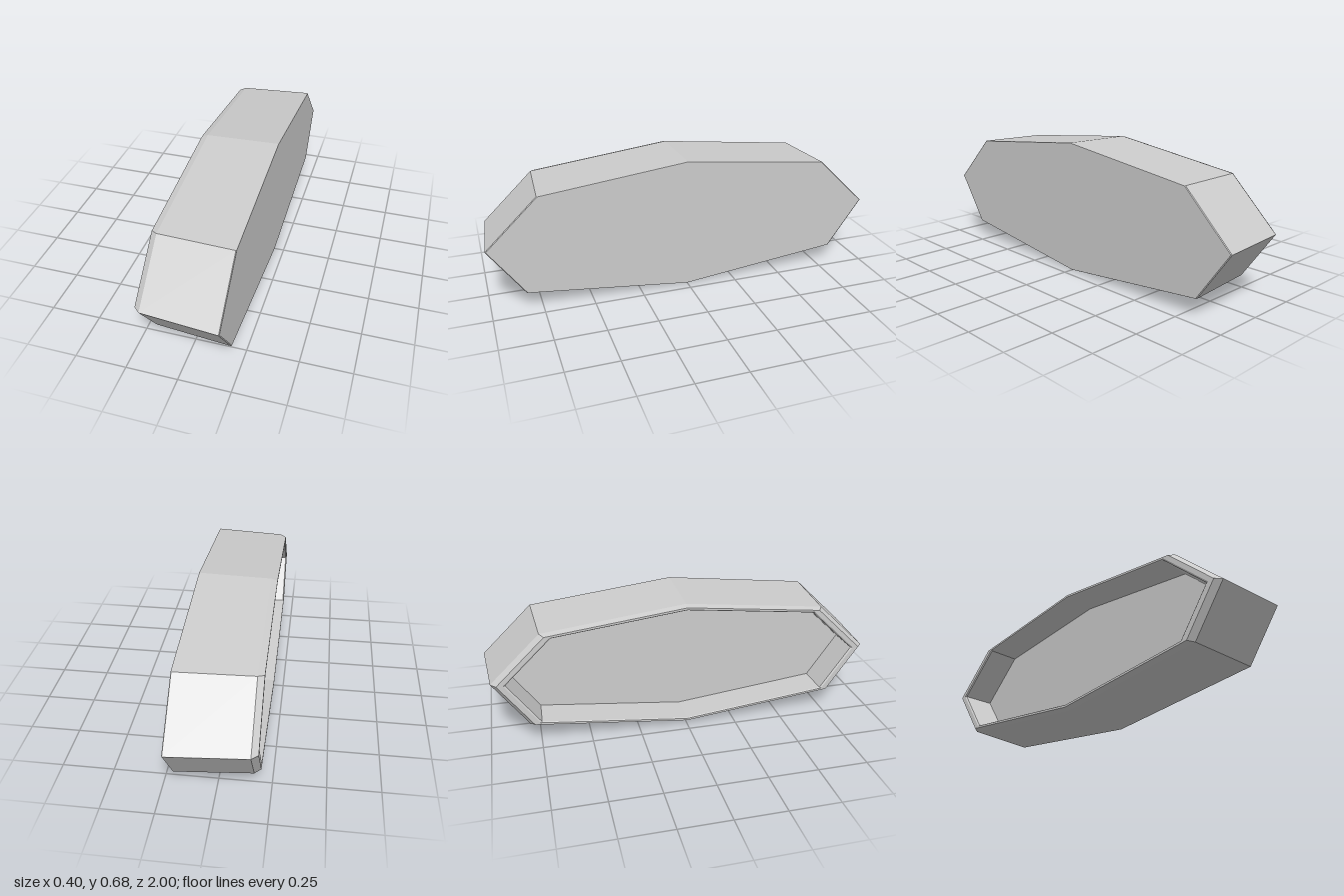
import * as THREE from 'three';

// Eight-sided outline as [z, y] about its centre, anticlockwise seen from +x
const CENTRE_Y = 0.337;
const OUTLINE = [
  [1, 0.003], [0.825, -0.245], [0, -0.337], [-0.825, -0.245],
  [-1, 0.003], [-0.742, 0.251], [0, 0.338], [0.742, 0.251],
];

// Joins scaled copies of the outline; each ring is [x, scale], scale 0 closes to a point
function loft(name, rings, material) {
  const positions = [];
  const corner = ([x, s], i) => {
    const [z, y] = OUTLINE[i % OUTLINE.length];
    return [x, CENTRE_Y + y * s, z * s];
  };
  for (let r = 0; r < rings.length - 1; r++) {
    const a = rings[r], b = rings[r + 1];
    for (let i = 0; i < OUTLINE.length; i++) {
      if (b[1] > 0) positions.push(...corner(a, i), ...corner(b, i), ...corner(b, i + 1));
      if (a[1] > 0) positions.push(...corner(a, i), ...corner(b, i + 1), ...corner(a, i + 1));
    }
  }
  const geometry = new THREE.BufferGeometry();
  geometry.setAttribute('position', new THREE.Float32BufferAttribute(positions, 3));
  geometry.computeVertexNormals();
  const mesh = new THREE.Mesh(geometry, material);
  mesh.name = name;
  return mesh;
}

export function createModel() {
  const group = new THREE.Group();
  group.name = 'octagonalTray';
  const grey = new THREE.MeshStandardMaterial({ color: 0xcccccc, flatShading: true });

  // Flat closed face with a hairline bevel
  group.add(loft('closedFace', [[0.2, 0], [0.2, 0.995], [0.197, 1]], grey));
  // Tapered outer wall
  group.add(loft('outerWall', [[0.197, 1], [-0.17, 0.97]], grey));
  // Chamfered rim around the opening
  group.add(loft('rim', [[-0.17, 0.97], [-0.2, 0.942], [-0.2, 0.91], [-0.195, 0.9]], grey));
  // Shallow recess: inner wall and floor
  group.add(loft('recess', [[-0.195, 0.9], [-0.03, 0.895], [-0.03, 0]], grey));

  return group;
}
